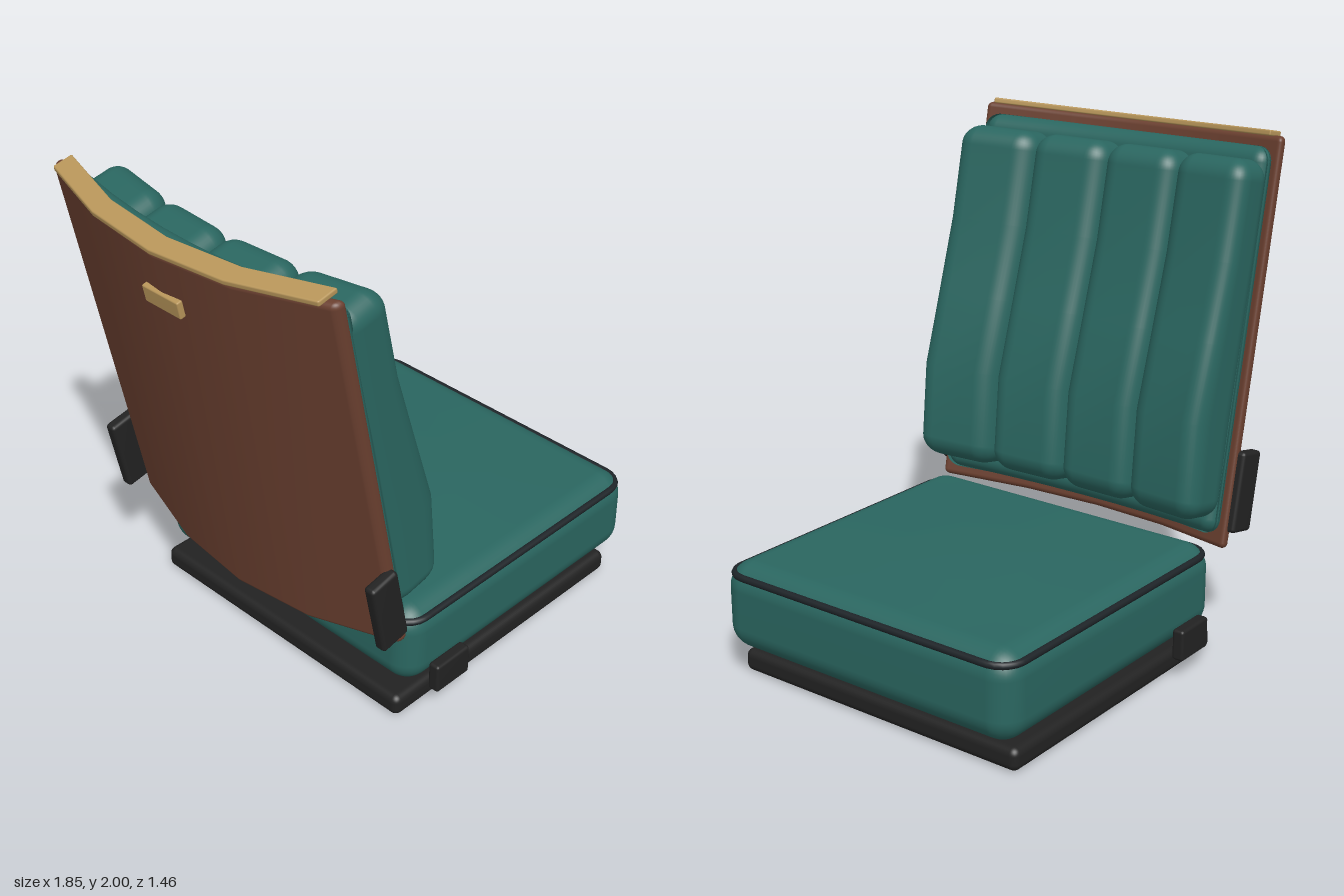
import * as THREE from 'three';
import { mergeVertices } from 'three/addons/utils/BufferGeometryUtils.js';

const paint = (color) => new THREE.MeshStandardMaterial({ color });
const teal = paint(0x2a6660), wood = paint(0x6b4030), brass = paint(0xb8965a);
const black = paint(0x222222), cord = paint(0x1e2428);

// Rounded box with k steps per rounded edge and mid = [x, y, z] steps across each flat,
// optionally reshaped by a rule in the coordinates of the parent group.
function softBox(name, material, size, at, r, { k = 4, mid = [1, 1, 1], rule } = {}) {
  const n = mid.map((m) => m + 2 * k);
  let geo = new THREE.BoxGeometry(2, 2, 2, ...n);
  geo.deleteAttribute('uv');
  geo.deleteAttribute('normal');
  geo = mergeVertices(geo);
  const pos = geo.attributes.position;
  const v = new THREE.Vector3(), inner = new THREE.Vector3();
  for (let j = 0; j < pos.count; j++) {
    v.fromBufferAttribute(pos, j);
    for (let a = 0; a < 3; a++) {
      const i = Math.round((v.getComponent(a) + 1) / 2 * n[a]);
      const flat = size[a] / 2 - r;
      const over = i < k ? i - k : Math.max(0, i - n[a] + k);
      const c = THREE.MathUtils.clamp((i - k) / mid[a] * 2 - 1, -1, 1) * flat;
      inner.setComponent(a, c);
      v.setComponent(a, r * Math.tan(over / k * Math.PI / 4));
    }
    v.setLength(r).add(inner);
    v.x += at[0]; v.y += at[1]; v.z += at[2];
    if (rule) rule(v);
    pos.setXYZ(j, v.x, v.y, v.z);
  }
  geo.computeVertexNormals();
  const mesh = new THREE.Mesh(geo, material);
  mesh.name = name;
  return mesh;
}

// Closed cord following a rounded rectangle in the horizontal plane
function pipingCord(halfX, halfZ, corner, radius) {
  const pts = [];
  for (let q = 0; q < 4; q++) {
    const sx = q === 0 || q === 3 ? 1 : -1, sz = q < 2 ? 1 : -1;
    for (let i = 0; i <= 6; i++) {
      const a = (q + i / 6) * Math.PI / 2;
      pts.push(new THREE.Vector3(
        sx * (halfX - corner) + corner * Math.cos(a), 0,
        sz * (halfZ - corner) + corner * Math.sin(a)));
    }
  }
  const path = new THREE.CurvePath();
  pts.forEach((p, i) => path.add(new THREE.LineCurve3(p, pts[(i + 1) % pts.length])));
  const curve = new THREE.CatmullRomCurve3(path.getSpacedPoints(160).slice(0, -1), true);
  const mesh = new THREE.Mesh(new THREE.TubeGeometry(curve, 200, radius, 8, true), cord);
  mesh.name = 'seatPiping';
  return mesh;
}

function buildSeat() {
  const seat = new THREE.Group();
  seat.name = 'seat';
  seat.add(softBox('basePlate', black, [1.26, 0.09, 1.31], [0.21, 0.045, 0], 0.03));

  // Cushion with a gently crowned top
  const crown = (v) => {
    if (v.y < 0.46) return;
    v.y += 0.03 * Math.max(0, 1 - Math.abs(v.x - 0.265) / 0.56) * Math.max(0, 1 - Math.abs(v.z) / 0.585);
  };
  seat.add(softBox('seatCushion', teal, [1.31, 0.35, 1.37], [0.265, 0.295, 0], 0.1,
    { k: 5, mid: [4, 1, 4], rule: crown }));

  const piping = pipingCord(0.64, 0.668, 0.09, 0.014);
  piping.position.set(0.265, 0.425, 0);
  seat.add(piping);

  for (const s of [-1, 1]) {
    seat.add(softBox('seatBracket', black, [0.18, 0.125, 0.05], [-0.185, 0.143, s * 0.705], 0.012, { k: 2 }));
  }
  return seat;
}

function buildBackrest() {
  const back = new THREE.Group();
  back.name = 'backrest';
  back.position.set(-0.6, 0.39, 0);
  back.rotation.z = 0.2;

  // The shell curves around the sitter, the padding a little less
  const shellBend = (v) => { v.x += 0.3 * v.z * v.z; };
  back.add(softBox('backShell', wood, [0.05, 1.59, 1.4], [0.025, 0.795, 0], 0.022,
    { mid: [1, 1, 4], rule: shellBend }));
  back.add(softBox('topTrim', brass, [0.085, 0.022, 1.31], [0.033, 1.597, 0], 0.006,
    { k: 2, mid: [1, 1, 4], rule: shellBend }));
  back.add(softBox('backPlate', brass, [0.03, 0.07, 0.18], [0.002, 1.39, 0], 0.006, { k: 2 }));

  back.add(softBox('backPad', teal, [0.146, 1.495, 1.335], [0.103, 0.797, 0], 0.06, {
    mid: [1, 1, 8],
    rule: (v) => { v.x += (v.x < 0.1 ? 0.3 : 0.16) * v.z * v.z; },
  }));

  // Four upright channels with a lumbar swell
  const swell = (v) => {
    const front = THREE.MathUtils.clamp((v.x - 0.11) / 0.2, 0, 1);
    v.x += 0.16 * v.z * v.z + 0.07 * front * Math.exp(-(((v.y - 0.5) / 0.38) ** 2));
  };
  for (let i = 0; i < 4; i++) {
    back.add(softBox('backChannel', teal, [0.23, 1.375, 0.34], [0.22, 0.803, (i - 1.5) * 0.338], 0.08,
      { k: 5, mid: [1, 4, 1], rule: swell }));
  }

  for (const s of [-1, 1]) {
    back.add(softBox('backBracket', black, [0.13, 0.32, 0.05], [0.113, 0.227, s * 0.705], 0.015, { k: 2 }));
  }
  return back;
}

export function createModel() {
  const model = new THREE.Group();
  model.name = 'passengerSeat';
  model.add(buildSeat(), buildBackrest());
  return model;
}
